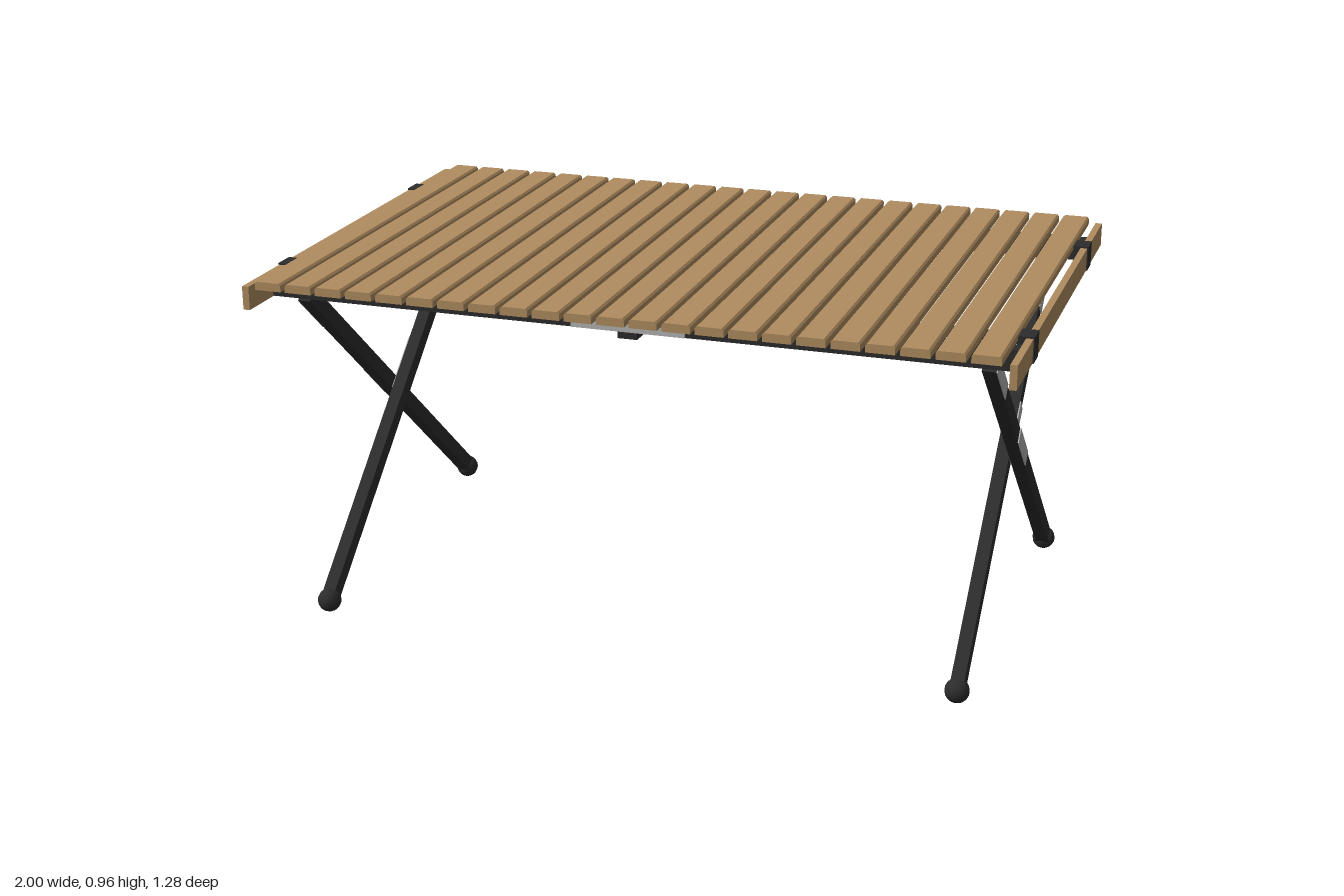
import * as THREE from 'three';

const wood = new THREE.MeshStandardMaterial({ name: 'wood', color: 0xb08d60 });
const black = new THREE.MeshStandardMaterial({ name: 'blackMetal', color: 0x2c2c2c });
const silver = new THREE.MeshStandardMaterial({ name: 'silver', color: 0xb4b4b4 });

function add(parent, name, geometry, material, x = 0, y = 0, z = 0) {
  const mesh = new THREE.Mesh(geometry, material);
  mesh.name = name;
  mesh.position.set(x, y, z);
  parent.add(mesh);
  return mesh;
}

const box = (w, h, d) => new THREE.BoxGeometry(w, h, d);

// Slat with chamfered upper edges, running along z
function slatGeometry(width, height, depth, chamfer) {
  const w = width / 2;
  const shape = new THREE.Shape([
    new THREE.Vector2(-w, 0),
    new THREE.Vector2(w, 0),
    new THREE.Vector2(w, height - chamfer),
    new THREE.Vector2(w - chamfer, height),
    new THREE.Vector2(-w + chamfer, height),
    new THREE.Vector2(-w, height - chamfer),
  ]);
  return new THREE.ExtrudeGeometry(shape, { depth, bevelEnabled: false }).translate(0, 0, -depth / 2);
}

// One diagonal leg; dir is the z direction its top points to
function makeLeg(side, dir, x) {
  const leg = new THREE.Group();
  leg.name = dir > 0 ? 'outerLeg' : 'innerLeg';
  const footZ = 0.515, footY = 0.033, crossY = 0.478;
  const angle = Math.atan2(crossY - footY, footZ);
  const foot = -Math.hypot(crossY - footY, footZ);
  const top = 0.625;

  const bar = new THREE.Group();
  bar.name = 'legBar';
  bar.position.set(side * x, crossY, 0);
  bar.rotation.x = -dir * angle;
  leg.add(bar);
  add(bar, 'legTube', box(0.035, 0.042, top - foot), black, 0, 0, dir * (top + foot) / 2);

  // Silver plates on the outward face
  for (const [from, to] of [[-0.02, 0.15], [0.45, 0.62]]) {
    add(bar, 'legPlate', box(0.004, 0.041, to - from), silver,
      side * 0.0185, 0, dir * (from + to) / 2);
  }
  add(leg, 'foot', new THREE.SphereGeometry(0.032, 14, 10), black,
    side * x, footY, -dir * footZ);
  return leg;
}

export function createModel() {
  const model = new THREE.Group();
  model.name = 'foldingTable';

  // Slatted top
  const slats = new THREE.Group();
  slats.name = 'tabletop';
  model.add(slats);
  const slat = slatGeometry(0.072, 0.022, 1.276, 0.005);
  for (let i = -11; i <= 11; i++) add(slats, 'slat', slat, wood, i * 0.084, 0.94, 0);

  // End boards with wrap-around brackets
  for (const side of [-1, 1]) {
    add(model, 'endBoard', box(0.018, 0.062, 1.276), wood, side * 0.988, 0.915, 0);
    for (const z of [-0.405, 0.405]) {
      add(model, 'endBracket', box(0.04, 0.066, 0.06), black, side * 0.98, 0.917, z);
    }
  }

  // Long rails, straps under the slats and silver centre plates
  for (const side of [-1, 1]) {
    add(model, 'rail', box(1.96, 0.054, 0.045), black, 0, 0.912, side * 0.488);
    add(model, 'strap', box(1.96, 0.01, 0.06), black, 0, 0.934, side * 0.405);
    add(model, 'railPlate', box(0.3, 0.053, 0.006), silver, 0, 0.912, side * 0.512);
  }
  add(model, 'latch', box(0.052, 0.018, 0.052), black, 0, 0.877, 0.488);

  // Crossed legs at both ends
  for (const side of [-1, 1]) {
    const pair = new THREE.Group();
    pair.name = side > 0 ? 'leftLegs' : 'rightLegs';
    pair.add(makeLeg(side, 1, 0.903), makeLeg(side, -1, 0.866));
    model.add(pair);
  }
  return model;
}
